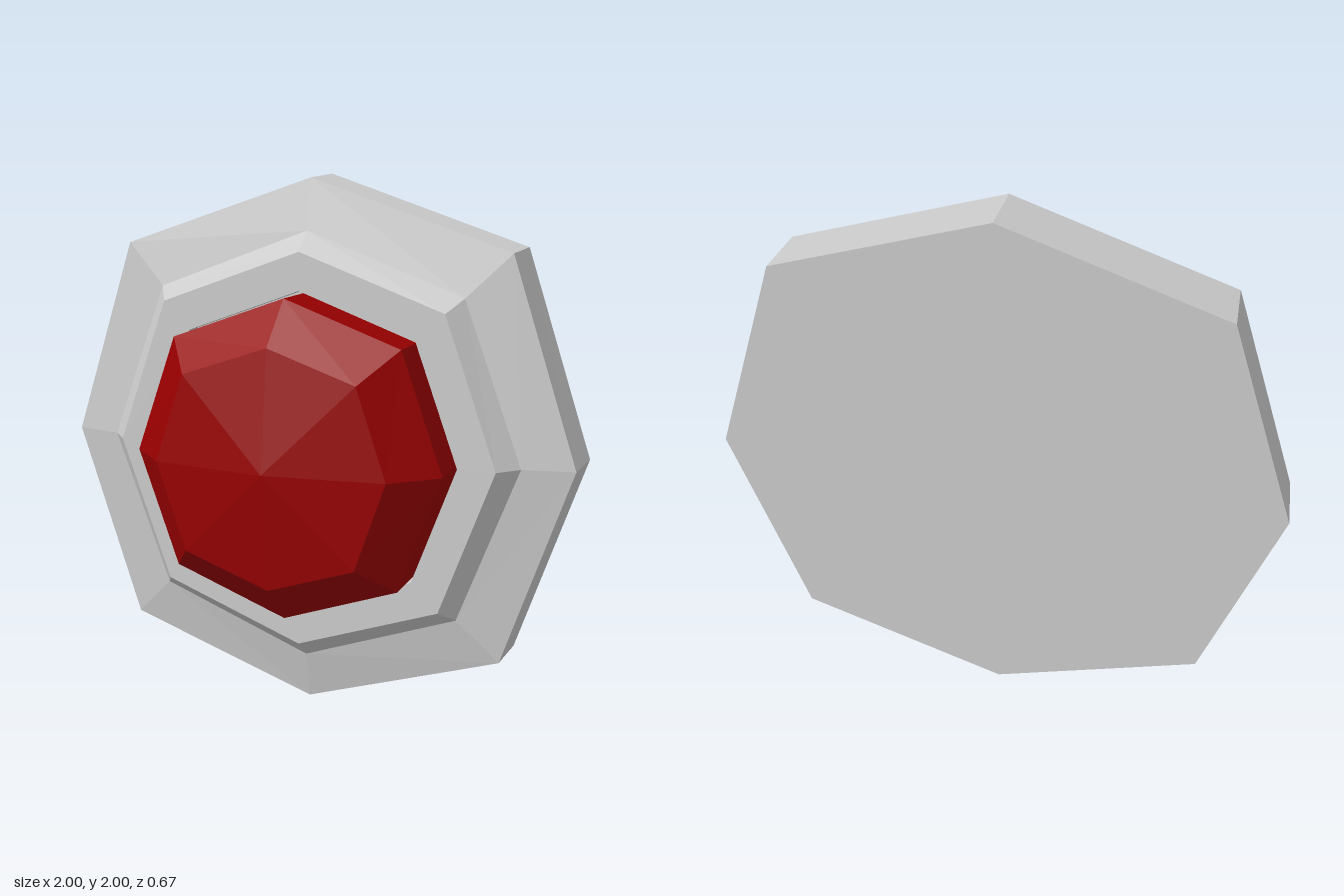
import * as THREE from 'three';

// Eight-sided faceted solid along +z from rings of [straight radius, diagonal offset, z], back to front
function octagonSolid(name, color, rings) {
  const profile = rings.map(([r, , z]) => new THREE.Vector2(r, z));
  const geometry = new THREE.LatheGeometry(profile, 8);
  const pos = geometry.attributes.position;

  // Push the four diagonal corners out to their own offset
  for (let i = 0; i < pos.count; i++) {
    const column = Math.floor(i / rings.length);
    const [, diagonal, z] = rings[i % rings.length];
    if (column % 2 === 1) {
      pos.setXYZ(i, Math.sign(pos.getX(i)) * diagonal, z, Math.sign(pos.getZ(i)) * diagonal);
    }
  }
  geometry.rotateX(Math.PI / 2);

  const flat = geometry.toNonIndexed();
  flat.computeVertexNormals();
  const mesh = new THREE.Mesh(flat, new THREE.MeshStandardMaterial({ color, flatShading: true }));
  mesh.name = name;
  mesh.position.y = 1;
  return mesh;
}

export function createModel() {
  const model = new THREE.Group();
  model.name = 'pushButton';

  // Stepped housing with a shallow socket in the front
  model.add(octagonSolid('housing', 0xcccccc, [
    [0, 0, -0.335],
    [1, 0.75, -0.335],
    [0.99, 0.743, -0.125],
    [0.805, 0.587, -0.087],
    [0.735, 0.54, -0.008],
    [0.597, 0.437, -0.008],
    [0.597, 0.437, -0.08],
    [0, 0, -0.08],
  ]));

  // Domed button seated in the socket
  model.add(octagonSolid('button', 0x990000, [
    [0.585, 0.43, -0.08],
    [0.585, 0.43, 0.13],
    [0.432, 0.322, 0.28],
    [0, 0, 0.335],
  ]));

  return model;
}
